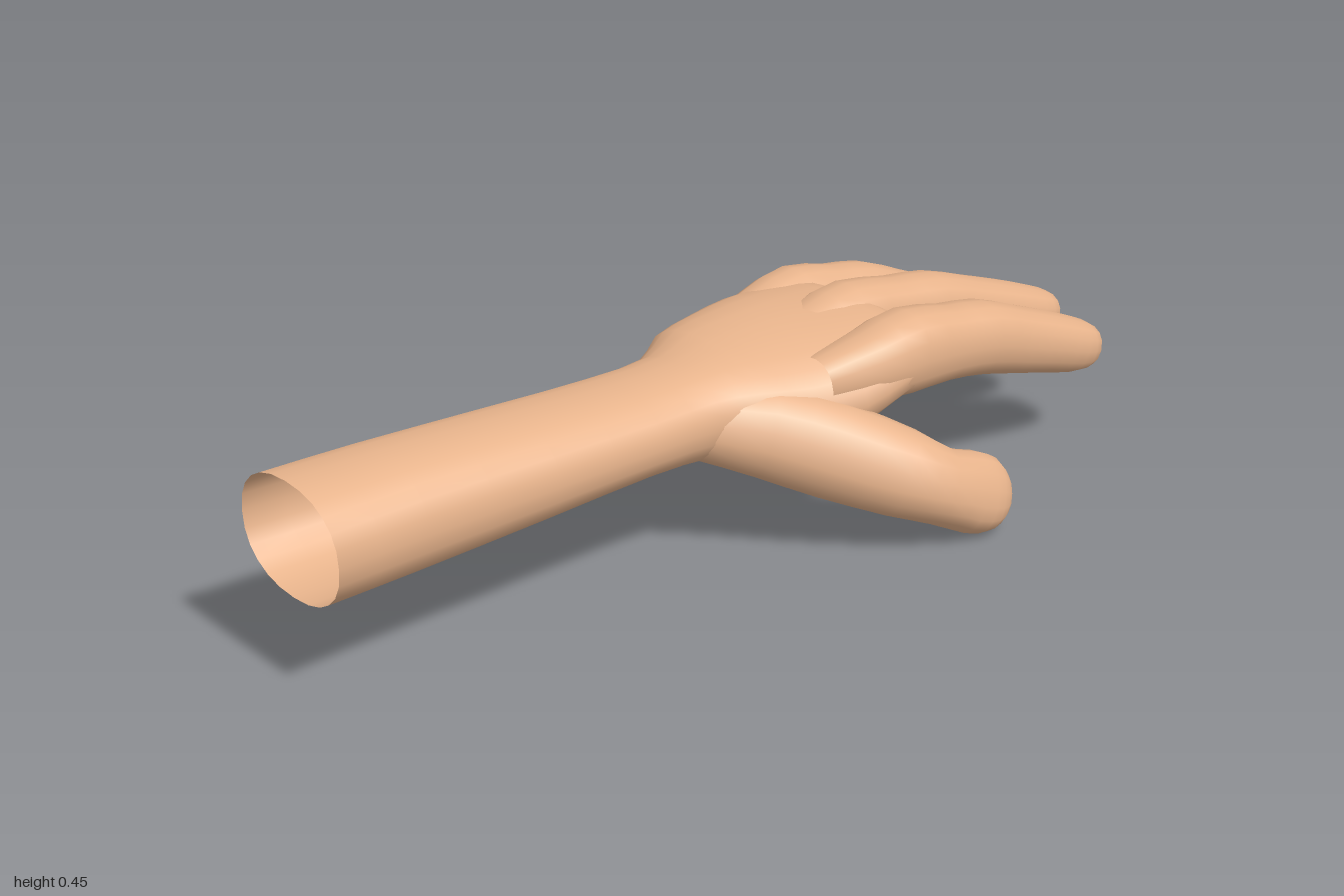
import * as THREE from 'three';

const skin = new THREE.MeshStandardMaterial({ color: 0xe8b48c, side: THREE.DoubleSide });

// Skin a tube over sections [x, y, z, halfWidth, halfHeight, slope].
// Sections are interpolated smoothly; the far end closes on a single point.
function loft(name, sections, { sides = 16, steps = 2, power = 2, up = [0, 1, 0], upright = false } = {}) {
  const centre = new THREE.CatmullRomCurve3(sections.map(s => new THREE.Vector3(s[0], s[1], s[2])), false, 'catmullrom');
  const size = new THREE.CatmullRomCurve3(sections.map(s => new THREE.Vector3(s[3], s[4], s[5] || 0)), false, 'catmullrom');
  const rings = (sections.length - 1) * steps;
  const pos = [], index = [];
  const bend = v => Math.sign(v) * Math.abs(v) ** (2 / power);
  for (let i = 0; i <= rings; i++) {
    const c = centre.getPoint(i / rings), r = size.getPoint(i / rings);
    const along = upright ? new THREE.Vector3(1, 0, 0) : centre.getTangent(i / rings);
    const across = along.clone().cross(new THREE.Vector3(...up)).normalize();
    const high = across.clone().cross(along).normalize();
    for (let j = 0; j < sides; j++) {
      const a = (j / sides) * Math.PI * 2;
      const u = r.x * bend(Math.cos(a)), v = r.y * bend(Math.sin(a)) + r.z * u;
      const p = c.clone().addScaledVector(across, u).addScaledVector(high, v);
      pos.push(p.x, p.y, p.z);
      if (i < rings) {
        const k = i * sides + j, n = i * sides + (j + 1) % sides;
        index.push(k, k + sides, n, n, k + sides, n + sides);
      }
    }
  }
  // Tip
  const end = centre.getPoint(1).addScaledVector(centre.getTangent(1), 0.006);
  const apex = pos.length / 3;
  pos.push(end.x, end.y, end.z);
  for (let j = 0; j < sides; j++) index.push(rings * sides + j, apex, rings * sides + (j + 1) % sides);
  const geo = new THREE.BufferGeometry();
  geo.setAttribute('position', new THREE.Float32BufferAttribute(pos, 3));
  geo.setIndex(index);
  geo.computeVertexNormals();
  const mesh = new THREE.Mesh(geo, skin);
  mesh.name = name;
  return mesh;
}

// Finger curving down from the knuckle; tip is the x it reaches
function finger(name, z, tip, drop, width) {
  const at = t => 0.36 + (tip - 0.36) * t;
  return loft(name, [
    [0.14, 0.36 - drop, z * 0.9 - 0.01, width * 0.7, 0.055],
    [0.26, 0.372 - drop, z * 0.97, width * 0.95, 0.075],
    [at(0), 0.378 - drop, z, width * 1.04, 0.088],
    [at(0.2), 0.365 - drop, z, width * 0.96, 0.079],
    [at(0.37), 0.35 - drop, z, width, 0.078],
    [at(0.55), 0.317 - drop, z, width * 0.97, 0.072],
    [at(0.72), 0.285 - drop, z, width * 0.95, 0.066],
    [at(0.86), 0.257 - drop, z, width * 0.9, 0.06],
    [at(0.95), 0.243 - drop, z, width * 0.74, 0.048],
    [at(0.99), 0.237 - drop, z, width * 0.34, 0.022],
  ], { power: 2.3 });
}

export function createModel() {
  const hand = new THREE.Group();
  hand.name = 'hand';

  // Forearm, open at the elbow end, widening through the wrist into the palm
  hand.add(loft('forearmAndPalm', [
    [-1.0, 0.322, -0.1, 0.16, 0.118],
    [-0.8, 0.322, -0.097, 0.151, 0.117],
    [-0.5, 0.322, -0.092, 0.144, 0.105],
    [-0.25, 0.322, -0.09, 0.14, 0.094],
    [-0.1, 0.32, -0.09, 0.142, 0.1],
    [0.0, 0.322, -0.105, 0.192, 0.11, -0.05],
    [0.1, 0.325, -0.095, 0.217, 0.112, -0.1],
    [0.2, 0.338, -0.085, 0.237, 0.104, -0.09],
    [0.3, 0.352, -0.085, 0.246, 0.095, -0.02],
    [0.37, 0.36, -0.086, 0.244, 0.081],
    [0.415, 0.36, -0.088, 0.225, 0.05],
    [0.425, 0.36, -0.088, 0.15, 0.02],
  ], { sides: 24, upright: true, power: 2.25 }));

  // Three fingers
  hand.add(finger('frontFinger', 0.085, 0.935, 0.005, 0.078));
  hand.add(finger('middleFinger', -0.09, 0.995, -0.002, 0.077));
  hand.add(finger('rearFinger', -0.253, 0.88, 0.012, 0.074));

  // Thumb, leaning outward and down from the heel of the palm
  hand.add(loft('thumb', [
    [-0.12, 0.315, -0.04, 0.065, 0.07],
    [0.02, 0.28, 0.045, 0.08, 0.095],
    [0.13, 0.232, 0.125, 0.088, 0.1],
    [0.24, 0.178, 0.208, 0.085, 0.092],
    [0.31, 0.14, 0.247, 0.075, 0.08],
    [0.38, 0.11, 0.26, 0.066, 0.086],
    [0.435, 0.09, 0.266, 0.056, 0.078],
    [0.467, 0.08, 0.27, 0.038, 0.05],
    [0.477, 0.077, 0.271, 0.016, 0.022],
  ], { up: [0, 1, -0.4], power: 2.2 }));

  return hand;
}
